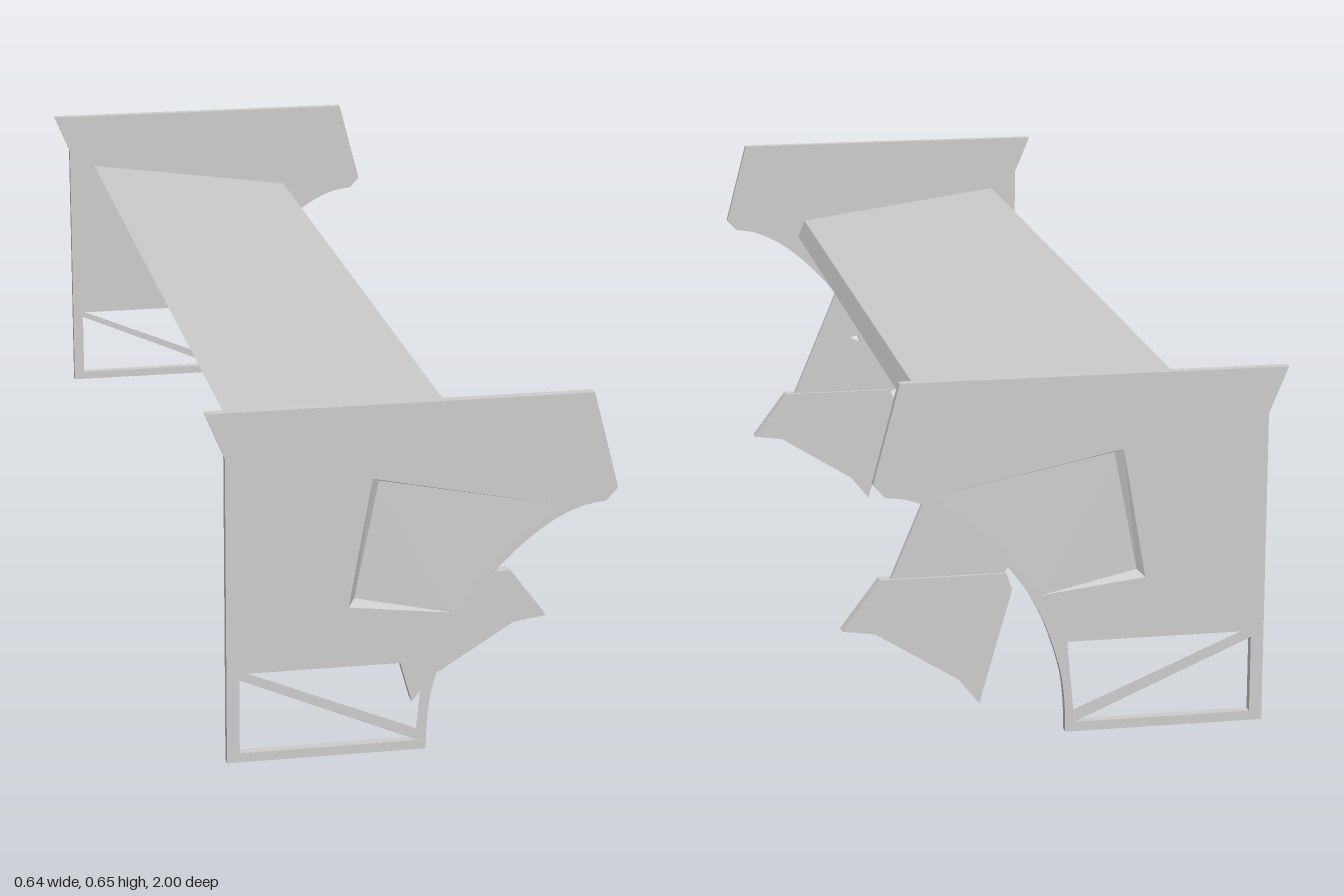
import * as THREE from 'three';

const material = new THREE.MeshStandardMaterial({ color: 0xcccccc, flatShading: true });
const thin = new THREE.MeshStandardMaterial({ color: 0xcccccc, flatShading: true, side: THREE.DoubleSide });

const toVectors = (points) => points.map(([x, y]) => new THREE.Vector2(x, y));

// A flat outline in x and y, given thickness along z around the centre z
function slab(name, outline, z, thickness, holes = []) {
  const shape = new THREE.Shape(toVectors(outline));
  holes.forEach((hole) => shape.holes.push(new THREE.Path(toVectors(hole))));
  const geometry = new THREE.ExtrudeGeometry(shape, { depth: thickness, bevelEnabled: false });
  geometry.translate(0, 0, z - thickness / 2);
  const mesh = new THREE.Mesh(geometry, material);
  mesh.name = name;
  return mesh;
}

// End plate: curved lower cutout, triangular openings
const arch = new THREE.SplineCurve(toVectors([
  [0.3, 0.48], [0.26, 0.473], [0.21, 0.449], [0.155, 0.405], [0.1, 0.345],
  [0.06, 0.278], [0.033, 0.2], [0.024, 0.145], [0.022, 0.09],
])).getPoints(28).map((p) => [p.x, p.y]);
const plateOutline = [
  [-0.29, 0.09], [-0.29, 0.583], [-0.32, 0.655], [0.277, 0.655], [0.318, 0.5], ...arch,
];
const openings = [
  [[-0.267, 0.236], [0.02, 0.236], [0.009, 0.12]],
  [[-0.27, 0.226], [-0.27, 0.105], [0.009, 0.105]],
];
const recessOutline = [[-0.065, 0.538], [-0.101, 0.333], [0.062, 0.313], [0.13, 0.4], [0.227, 0.478]];

// Recess: a ramp deepest at its steep end and flush at the other
function recess(side) {
  const outer = side * 1, inner = side * 0.9882;
  const [a, b, c, m, d] = recessOutline.map(([x, y]) => [x, y, outer]);
  const deepA = [-0.053, 0.531, inner], deepB = [-0.09, 0.343, inner];
  const triangles = [
    [deepA, deepB, c], [deepA, c, m], [deepA, m, d],
    [a, b, deepB], [a, deepB, deepA], [a, deepA, d], [b, c, deepB],
  ];
  if (side < 0) triangles.forEach((t) => t.reverse());
  const geometry = new THREE.BufferGeometry();
  geometry.setAttribute('position', new THREE.Float32BufferAttribute(triangles.flat(2), 3));
  geometry.computeVertexNormals();
  const mesh = new THREE.Mesh(geometry, thin);
  mesh.name = 'plateRecess';
  return mesh;
}

function endPlate(side) {
  const group = new THREE.Group();
  group.name = side > 0 ? 'frontEndPlate' : 'backEndPlate';
  group.add(
    slab('plateInnerSkin', plateOutline, side * 0.9865, 0.003, openings),
    slab('plateOuterSkin', plateOutline, side * 0.994, 0.012, [...openings, recessOutline]),
    recess(side),
  );
  return group;
}

// Mount: thin notched upright on a thicker foot
function mount(side) {
  const z = side * 0.607;
  const group = new THREE.Group();
  group.name = side > 0 ? 'frontMount' : 'backMount';
  group.add(
    slab('mountUpright', [
      [0.045, 0.222], [0.232, 0.222], [0.155, 0.405], [0.132, 0.464], [-0.02, 0.473],
      [0.095, 0.415], [0, 0.366], [0.12, 0.334], [0.005, 0.278],
    ], z, 0.01),
    slab('mountFoot', [
      [0.085, 0.002], [0.12, 0.046], [0.258, 0.133], [0.313, 0.141], [0.25, 0.225],
      [0.04, 0.225], [0.03, 0.197],
    ], z, 0.021),
  );
  return group;
}

export function createModel() {
  const model = new THREE.Group();
  model.name = 'rearWing';

  // Main blade spanning between the end plates
  model.add(slab('wingBlade', [
    [-0.18, 0.48], [0.17, 0.461], [0.157, 0.495], [-0.24, 0.55],
  ], 0, 1.972));

  for (const side of [1, -1]) model.add(endPlate(side), mount(side));
  return model;
}
